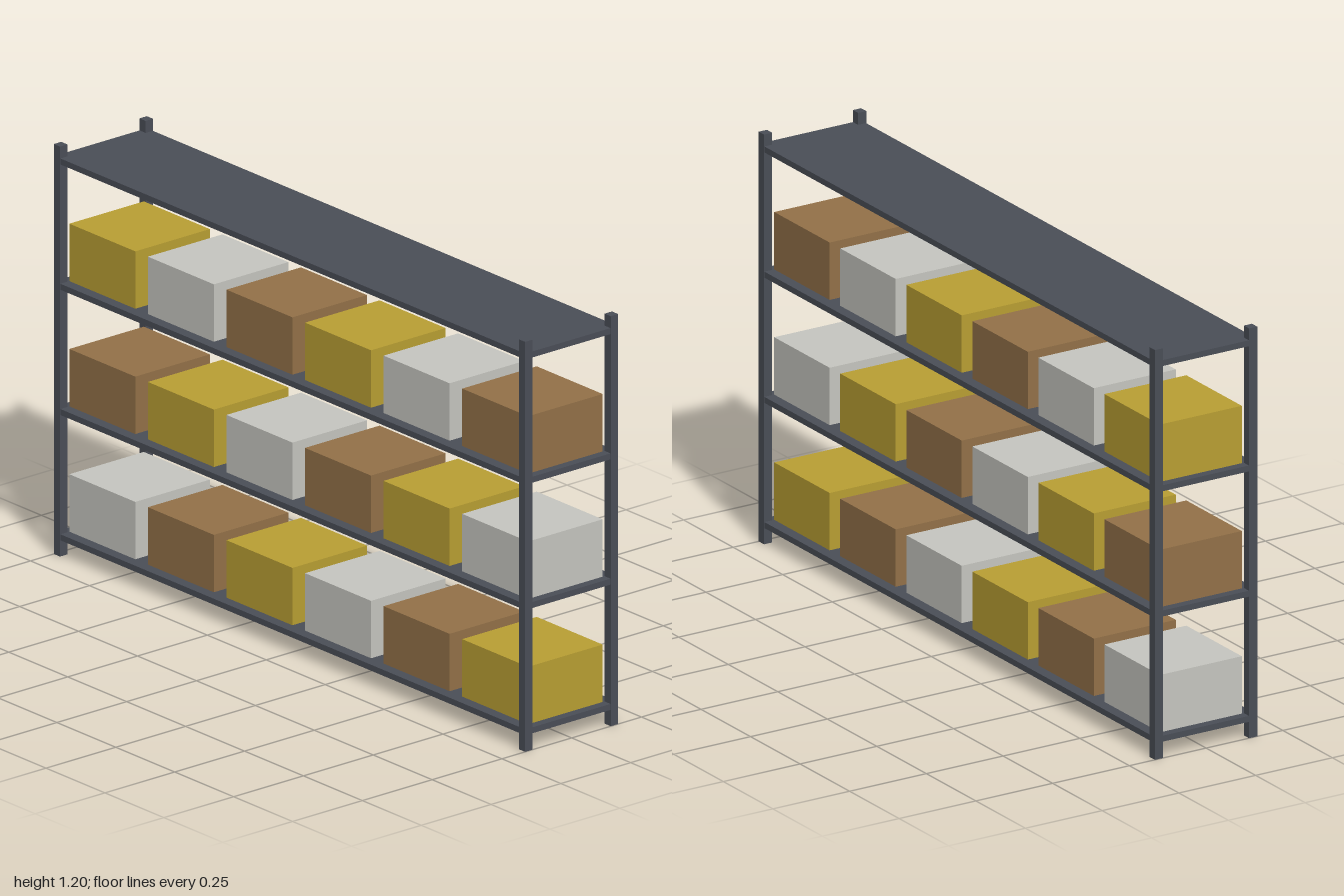
import * as THREE from 'three';

const paint = (name, color) => {
  const m = new THREE.MeshStandardMaterial({ color });
  m.name = name;
  return m;
};

export function createModel() {
  const steel = paint('darkSteel', 0x4a4e57);
  const boxColours = [
    paint('paleGrey', 0xc6c6c0),
    paint('cardboardBrown', 0x937148),
    paint('mustardYellow', 0xb99f33),
  ];
  const rack = new THREE.Group();
  rack.name = 'storageRack';

  // Adds a block standing on height y
  const block = (name, material, [w, h, d], x, y, z) => {
    const mesh = new THREE.Mesh(new THREE.BoxGeometry(w, h, d), material);
    mesh.name = name;
    mesh.position.set(x, y + h / 2, z);
    rack.add(mesh);
  };

  // Corner posts
  const post = 0.0267;
  for (const sx of [-1, 1]) {
    for (const sz of [-1, 1]) {
      block('cornerPost', steel, [post, 1.2, post],
        sx * (1 - post / 2), 0, sz * (0.1667 - post / 2));
    }
  }

  // Shelves, set a hair inside the posts, with storage boxes on the lower three
  const thickness = 0.0175;
  for (let row = 0; row < 4; row++) {
    const y = 0.0475 + row * 0.3667;
    block('shelf', steel, [1.998, thickness, 0.3313], 0, y, 0);
    if (row === 3) continue;
    for (let i = 0; i < 6; i++) {
      block('storageBox', boxColours[(row + i) % 3], [0.28, 0.168, 0.267],
        (i - 2.5) / 3, y + thickness, 0);
    }
  }
  return rack;
}
